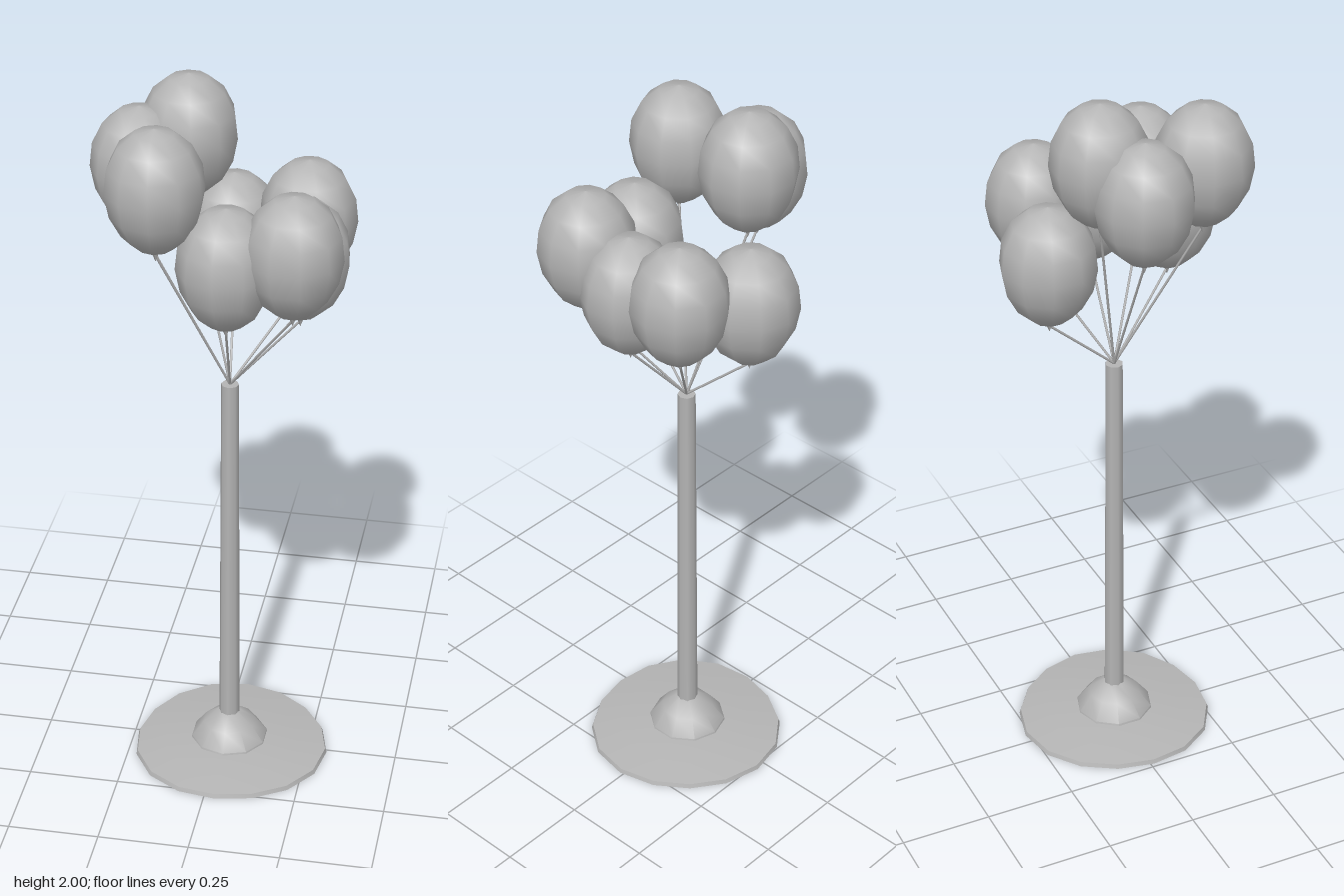
import * as THREE from 'three';
import { toCreasedNormals } from 'three/addons/utils/BufferGeometryUtils.js';

const grey = new THREE.MeshStandardMaterial({ color: 0xb4b4b4 });
grey.name = 'plain grey';

// Centre of the pole
const CX = 0.025, CZ = 0.01, POLE_TOP = 1.168;

// Balloons: x, top height, z
const BALLOONS = [
  [0.0, 1.69, -0.187],
  [-0.1, 2.0, -0.088],
  [-0.215, 1.93, -0.02],
  [-0.135, 1.96, 0.183],
  [0.215, 1.805, 0.175],
  [0.043, 1.755, 0.172],
  [0.213, 1.73, 0.03],
  [0.206, 1.765, -0.135],
];

function part(name, geometry) {
  const mesh = new THREE.Mesh(geometry, grey);
  mesh.name = name;
  return mesh;
}

function lathe(points, sides) {
  return new THREE.LatheGeometry(points.map(([r, y]) => new THREE.Vector2(r, y)), sides);
}

// Egg-shaped body, with its top at y = 0
function balloonBody() {
  const points = [];
  for (let i = 0; i <= 8; i++) {
    const a = (i / 8) * Math.PI;
    const taper = 1 + 0.06 * -Math.cos(a);
    points.push([Math.max(0, 0.129 * Math.sin(a) * taper), -0.167 - 0.167 * Math.cos(a)]);
  }
  return lathe(points, 10);
}

// Thin rod between two points
function rod(name, a, b, radius) {
  const mesh = part(name, new THREE.CylinderGeometry(radius, radius, a.distanceTo(b), 5));
  mesh.position.copy(a).add(b).multiplyScalar(0.5);
  mesh.quaternion.setFromUnitVectors(new THREE.Vector3(0, 1, 0), b.clone().sub(a).normalize());
  return mesh;
}

export function createModel() {
  const model = new THREE.Group();
  model.name = 'balloonStand';

  // Uneven, shallow ground plate
  const plate = lathe([[0, 0], [0.272, 0], [0.268, 0.012], [0.19, 0.022], [0.1, 0.03], [0, 0.032]], 16);
  const pos = plate.attributes.position;
  for (let i = 0; i < pos.count; i++) {
    const x = pos.getX(i), z = pos.getZ(i);
    const k = 1 + 0.02 * Math.sin(3 * Math.atan2(z, x) + 0.6);
    pos.setX(i, x * k);
    pos.setZ(i, z * k);
  }
  const base = part('basePlate', toCreasedNormals(plate, 0.7));
  base.position.set(CX + 0.005, 0, CZ);
  model.add(base);

  // Rounded foot around the pole
  const foot = part('foot', toCreasedNormals(
    lathe([[0.11, 0.015], [0.107, 0.035], [0.073, 0.08], [0.027, 0.114], [0, 0.114]], 10), 0.7));
  foot.position.set(CX, 0, CZ);
  model.add(foot);

  // Slightly tapered pole
  const pole = part('pole', new THREE.CylinderGeometry(0.024, 0.029, POLE_TOP - 0.08, 8));
  pole.position.set(CX, (POLE_TOP + 0.08) / 2, CZ);
  model.add(pole);

  // Balloons with knots and strings
  const body = balloonBody();
  const knotShape = new THREE.ConeGeometry(0.017, 0.042, 6).rotateX(Math.PI);
  const hub = new THREE.Vector3(CX, POLE_TOP, CZ);
  BALLOONS.forEach(([x, top, z], i) => {
    const balloon = new THREE.Group();
    balloon.name = 'balloon' + (i + 1);
    const skin = part('balloonBody', body);
    skin.rotation.y = i * 0.23;
    const knot = part('knot', knotShape);
    knot.position.y = -0.341;
    balloon.add(skin, knot);
    balloon.position.set(x, top, z);
    model.add(balloon);
    model.add(rod('string' + (i + 1), hub, new THREE.Vector3(x, top - 0.345, z), 0.0035));
  });

  return model;
}
